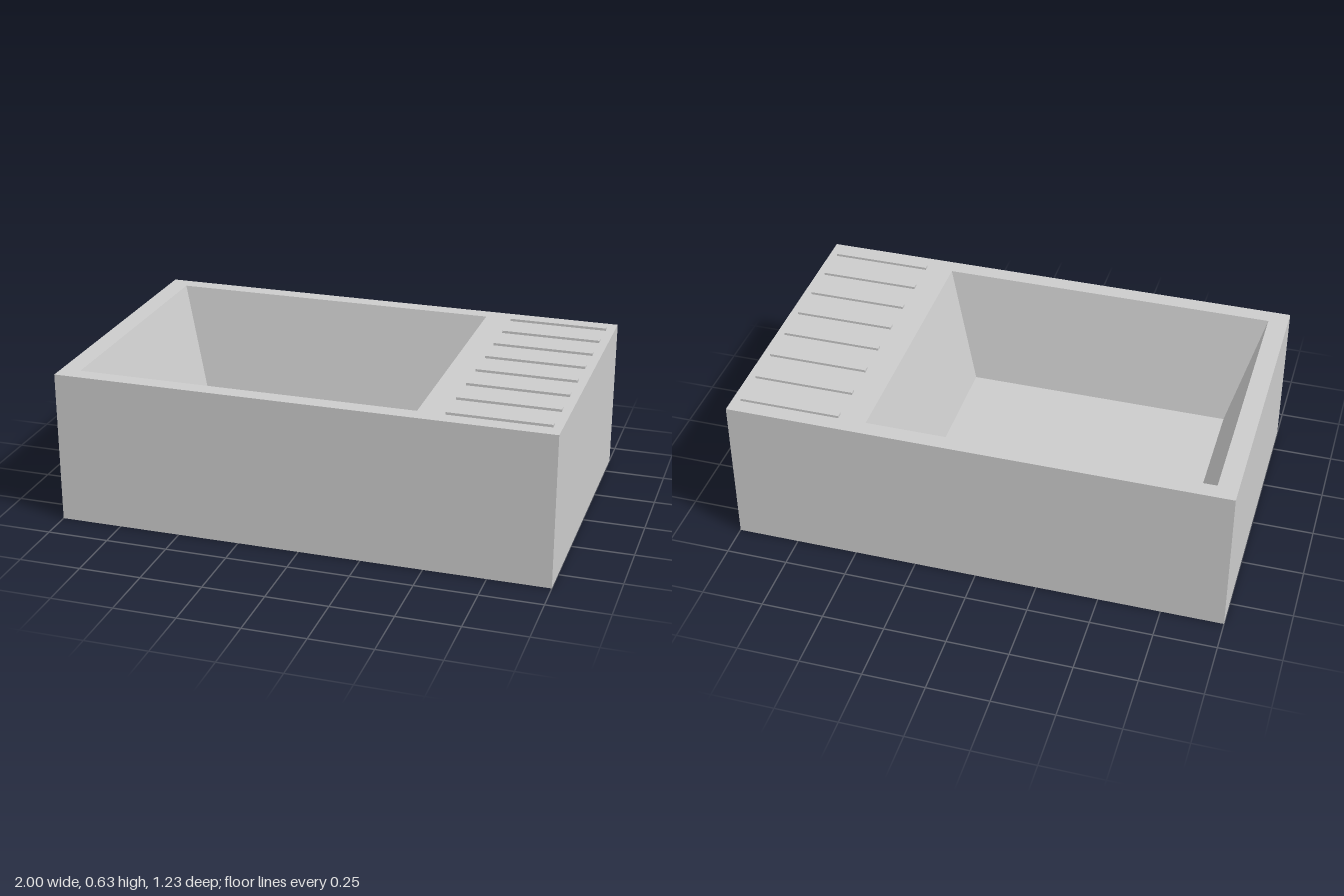
import * as THREE from 'three';

const material = new THREE.MeshStandardMaterial({ color: 0xcccccc, flatShading: true });

// Rectangular loop, counter-clockwise seen from above
const loop = (x0, x1, z0, z1, y) => [[x0, y, z1], [x1, y, z1], [x1, y, z0], [x0, y, z0]];

// Skin a series of rectangular loops and close both ends
function skin(loops) {
  const pos = [];
  const quad = (a, b, c, d) => pos.push(...a, ...b, ...c, ...a, ...c, ...d);
  for (let k = 0; k < loops.length - 1; k++) {
    for (let i = 0; i < 4; i++) {
      const j = (i + 1) % 4;
      quad(loops[k][i], loops[k][j], loops[k + 1][j], loops[k + 1][i]);
    }
  }
  quad(...[...loops[0]].reverse());
  quad(...loops[loops.length - 1]);
  const geo = new THREE.BufferGeometry();
  geo.setAttribute('position', new THREE.Float32BufferAttribute(pos, 3));
  geo.computeVertexNormals();
  return geo;
}

// Square outline centred on the origin
function square(path, h) {
  path.moveTo(-h, -h);
  path.lineTo(h, -h);
  path.lineTo(h, h);
  path.lineTo(-h, h);
  path.closePath();
  return path;
}

export function createModel() {
  const group = new THREE.Group();
  const add = (name, geo, x = 0, y = 0, z = 0) => {
    const mesh = new THREE.Mesh(geo, material);
    mesh.name = name;
    mesh.position.set(x, y, z);
    group.add(mesh);
  };
  const top = 0.622, floor = 0.16;

  // Sink block: outer walls, rim, sloping basin walls and basin floor
  add('sinkBody', skin([
    loop(-1, 1, -0.617, 0.617, 0),
    loop(-1, 1, -0.617, 0.617, top),
    loop(-0.92, 0.45, -0.551, 0.549, top),
    loop(-0.785, 0.315, -0.446, 0.442, floor),
  ]));

  // Raised square frame around the drain
  const ring = square(new THREE.Shape(), 0.06);
  ring.holes.push(square(new THREE.Path(), 0.046));
  const drain = new THREE.ExtrudeGeometry(ring, { depth: 0.018, bevelEnabled: false });
  drain.rotateX(-Math.PI / 2);
  add('drainFrame', drain, -0.232, floor, -0.29);

  // Drainboard ribs
  const rib = new THREE.BoxGeometry(0.405, 0.02, 0.025);
  for (let i = 0; i < 8; i++) {
    add('drainboardRib', rib, 0.763, top, -0.54 + i * 0.1543);
  }
  return group;
}
